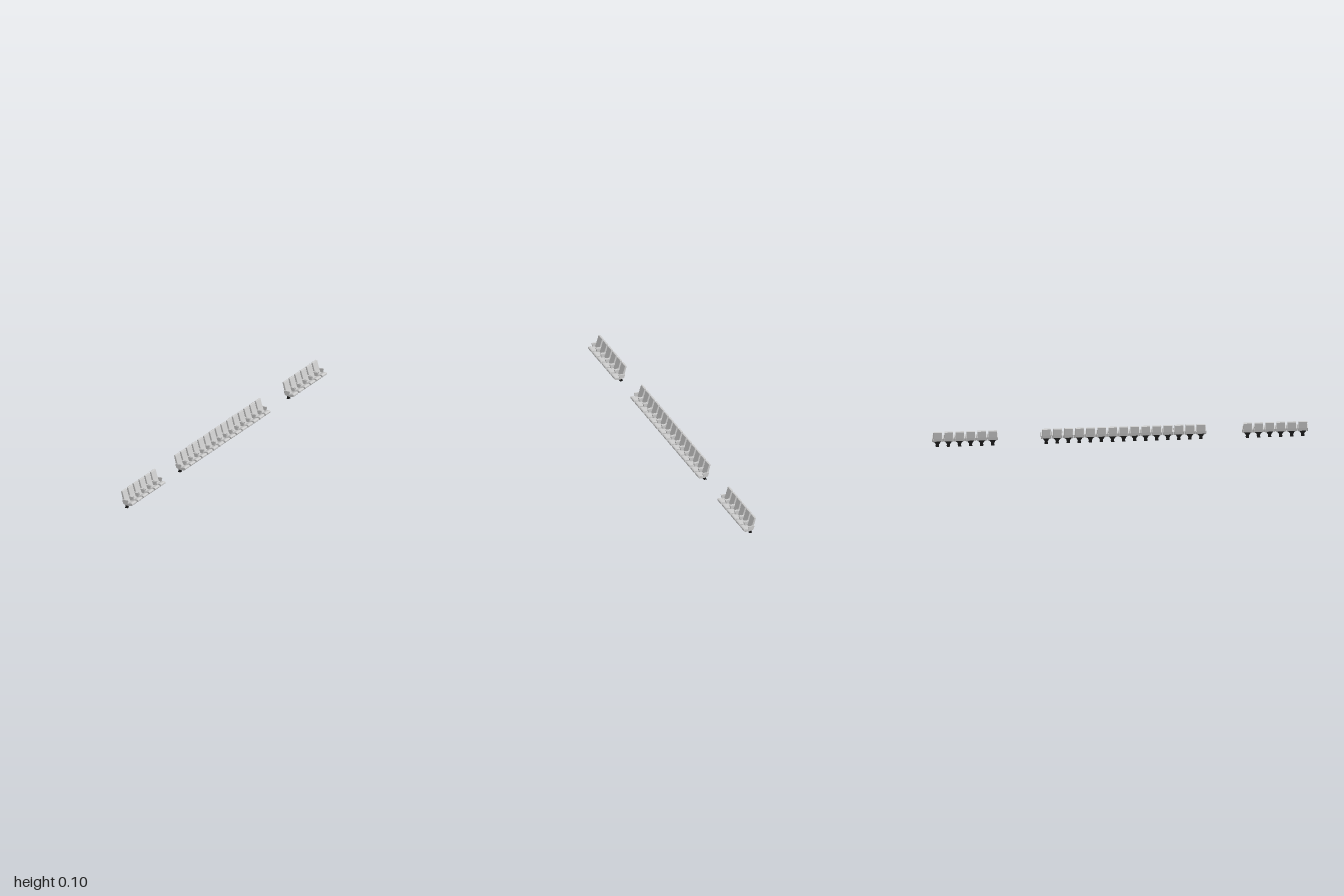
import * as THREE from 'three';

const PITCH = 0.0588;
const grey = new THREE.MeshStandardMaterial({ color: 0xcccccc });
const black = new THREE.MeshStandardMaterial({ color: 0x161616 });

// Side outline in x/y, extruded across the seat width and centred on z = 0
function sidePanel(points, width, bevel, smooth = false) {
  const pts = points.map(([x, y]) => new THREE.Vector2(x, y));
  const shape = new THREE.Shape();
  if (smooth) {
    const curve = new THREE.CatmullRomCurve3(pts.map(p => new THREE.Vector3(p.x, p.y, 0)), true);
    shape.setFromPoints(curve.getPoints(28).slice(0, -1).map(p => new THREE.Vector2(p.x, p.y)));
  } else {
    shape.setFromPoints(pts);
  }
  const geo = new THREE.ExtrudeGeometry(shape, {
    depth: width - 2 * bevel, bevelEnabled: bevel > 0,
    bevelSize: bevel, bevelThickness: bevel, bevelOffset: -bevel, bevelSegments: 2,
  });
  return geo.translate(0, 0, -(width - 2 * bevel) / 2);
}

// Scale z as a function of height
function taper(geo, widthAt) {
  const p = geo.attributes.position;
  for (let i = 0; i < p.count; i++) p.setZ(i, p.getZ(i) * widthAt(p.getY(i)));
  geo.computeVertexNormals();
  return geo;
}

function makeParts() {
  // Reclined backrest
  const back = sidePanel([
    [-0.037, 0.097], [-0.035, 0.0985], [-0.028, 0.0985], [-0.0265, 0.097],
    [-0.013, 0.052], [-0.006, 0.033], [-0.012, 0.028], [-0.019, 0.034], [-0.025, 0.053],
  ], 0.046, 0.0015);

  // Cushion with a rounded, raised front edge
  const cushion = sidePanel([
    [-0.012, 0.025], [0, 0.0215], [0.014, 0.0225], [0.027, 0.025], [0.0345, 0.031],
    [0.034, 0.039], [0.027, 0.042], [0.017, 0.04], [0.004, 0.034], [-0.01, 0.033],
  ], 0.047, 0.002, true);

  // Side wing that serves as armrest
  const arm = sidePanel([
    [-0.026, 0.053], [0.011, 0.0565], [0.0125, 0.055], [0.0075, 0.034],
    [0.004, 0.031], [-0.013, 0.028], [-0.02, 0.033],
  ], 0.0056, 0.001);

  // Leaning pedestal: narrow post flaring into the seat bracket
  const post = taper(sidePanel([
    [-0.019, 0], [-0.007, 0], [-0.0065, 0.012], [-0.004, 0.02], [-0.003, 0.03],
    [-0.016, 0.03], [-0.0175, 0.02], [-0.018, 0.012],
  ], 0.012, 0), y => (y > 0.025 ? 3 : y > 0.015 ? 1.8 : 0.9));
  const foot = new THREE.BoxGeometry(0.015, 0.003, 0.018).translate(-0.0125, 0.0015, 0);

  return [
    ['backrest', back, grey, 0],
    ['cushion', cushion, grey, 0],
    ['leftArmrest', arm, grey, -0.0255],
    ['rightArmrest', arm, grey, 0.0255],
    ['pedestal', post, black, 0],
    ['foot', foot, black, 0],
  ];
}

function makeSeat(parts) {
  const seat = new THREE.Group();
  seat.name = 'seat';
  for (const [name, geo, material, z] of parts) {
    const mesh = new THREE.Mesh(geo, material);
    mesh.name = name;
    mesh.position.z = z;
    seat.add(mesh);
  }
  return seat;
}

export function createModel() {
  const model = new THREE.Group();
  model.name = 'seatRow';
  const parts = makeParts();

  // Three blocks separated by aisles: [name, first seat z, seat count]
  const blocks = [['rearBlock', -0.972, 6], ['middleBlock', -0.393, 15], ['frontBlock', 0.678, 6]];
  for (const [name, start, count] of blocks) {
    const block = new THREE.Group();
    block.name = name;
    for (let i = 0; i < count; i++) {
      const seat = makeSeat(parts);
      seat.position.z = start + i * PITCH;
      block.add(seat);
    }
    model.add(block);
  }
  return model;
}
